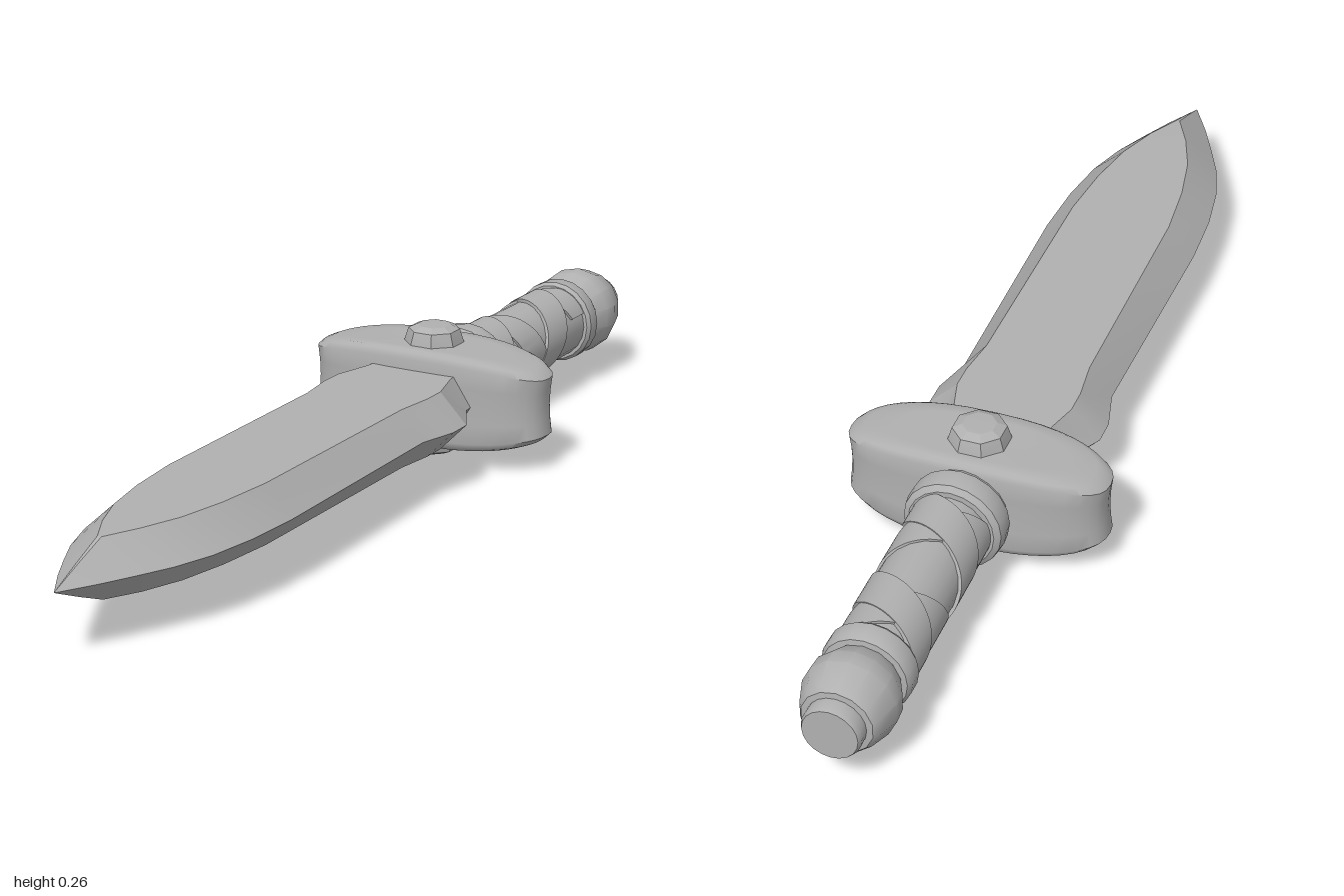
import * as THREE from 'three';
import { toCreasedNormals } from 'three/addons/utils/BufferGeometryUtils.js';

const MID = 0.13; // height of the dagger's long axis

// Skin closed rings of points, counter-clockwise about the direction of travel
function loft(rings) {
  const n = rings[0].length, index = [];
  for (let i = 0; i < rings.length - 1; i++) {
    for (let j = 0; j < n; j++) {
      const a = i * n + j, b = i * n + (j + 1) % n;
      index.push(a, b, b + n, a, b + n, a + n);
    }
  }
  const geo = new THREE.BufferGeometry();
  geo.setAttribute('position', new THREE.Float32BufferAttribute(rings.flat(2), 3));
  geo.setIndex(index);
  return geo;
}

// Turned part running backwards along -z; profile is [radius, z]
function turned(profile, sides = 20) {
  const points = profile.map(([r, z]) => new THREE.Vector2(r, -z));
  return new THREE.LatheGeometry(points, sides).rotateX(-Math.PI / 2).translate(0, MID, 0);
}

// Helical ribbon around the grip
function ribbon(direction, start) {
  const rings = [], steps = 72, turns = 1.5, half = 0.042;
  for (let i = 0; i <= steps; i++) {
    const t = i / steps, a = start + direction * t * turns * Math.PI * 2;
    const z = -0.45 - t * 0.34, out = direction > 0 ? 0.078 : 0.076;
    rings.push([[out, half], [out, -half], [0.066, -half], [0.066, half]].map(([r, dz]) =>
      [r * Math.cos(a), MID + r * Math.sin(a), THREE.MathUtils.clamp(z + dz, -0.81, -0.425)]));
  }
  return loft(direction > 0 ? rings : rings.reverse());
}

export function createModel() {
  const model = new THREE.Group();
  model.name = 'dagger';
  const grey = new THREE.MeshStandardMaterial({ color: 0xb0b0b0 });
  grey.name = 'grey';
  const add = (name, geo, crease = 0.6) => {
    const mesh = new THREE.Mesh(toCreasedNormals(geo, crease), grey);
    mesh.name = name;
    model.add(mesh);
    return mesh;
  };

  // Blade sections: z, edge half width, flat half width, half thickness
  const sections = [
    [-0.25, 0.12, 0.085, 0.057], [-0.19, 0.125, 0.09, 0.057], [-0.11, 0.168, 0.112, 0.057],
    [-0.06, 0.168, 0.112, 0.057], [0.02, 0.147, 0.102, 0.057], [0.5, 0.154, 0.1, 0.057],
    [0.62, 0.147, 0.088, 0.057], [0.72, 0.131, 0.068, 0.057], [0.8, 0.105, 0.038, 0.057],
    [0.865, 0.074, 0.004, 0.056], [0.93, 0.041, 0.002, 0.03], [1, 0, 0, 0],
  ];
  add('blade', loft(sections.map(([z, w, f, h]) =>
    [[w, 0], [f, h], [-f, h], [-w, 0], [-f, -h], [f, -h]].map(([x, y]) => [x, MID + y, z]))), 0.3);

  // Crossguard: rounded outline stacked upwards, thinner and slightly waisted at the ends
  const layers = [[-1, 0], [-1, 0.35], [-1, 0.65], [-1, 0.88], [-0.95, 0.95], [-0.82, 1], [-0.4, 0.985],
    [0, 0.98], [0.4, 0.985], [0.82, 1], [0.95, 0.95], [1, 0.88], [1, 0.65], [1, 0.35], [1, 0]];
  const power = (v) => Math.sign(v) * Math.abs(v) ** 0.8;
  add('crossguard', loft(layers.map(([t, s]) => Array.from({ length: 40 }, (_, j) => {
    const a = (j / 40) * Math.PI * 2;
    const x = 0.25 * s * power(Math.cos(a));
    const h = 0.095 - 0.026 * Math.abs(x / 0.25) ** 2.5;
    return [x, MID + t * h, -0.288 - 0.088 * s * power(Math.sin(a))];
  }))), 0.7);

  // Eight-sided studs above and below the guard
  const studProfile = [[0.06, 0.08], [0.058, 0.095], [0.05, 0.12], [0.032, 0.128], [0, 0.129]]
    .map(([r, y]) => new THREE.Vector2(r, y));
  for (const [name, turn] of [['topStud', 0], ['bottomStud', Math.PI]]) {
    const stud = new THREE.LatheGeometry(studProfile, 8, Math.PI / 8);
    add(name, stud.rotateX(turn).translate(0, MID, -0.288), 0.2);
  }

  // Handle with criss-cross wrapping
  add('collar', turned([[0.08, -0.35], [0.085, -0.378], [0.094, -0.388], [0.096, -0.41],
    [0.093, -0.43], [0.082, -0.438], [0.06, -0.438]]));
  add('grip', turned([[0.071, -0.42], [0.072, -0.6], [0.071, -0.82]]));
  add('wrapOne', ribbon(1, 0.4));
  add('wrapTwo', ribbon(-1, 0.4 + Math.PI));
  add('rearRing', turned([[0.06, -0.798], [0.078, -0.798], [0.084, -0.806], [0.084, -0.834],
    [0.078, -0.845], [0.06, -0.848]]));

  // Pommel and its end cap
  add('pommel', turned([[0.064, -0.84], [0.07, -0.85], [0.086, -0.882], [0.088, -0.912],
    [0.073, -0.958], [0.066, -0.968], [0.05, -0.97]], 14), 0.5);
  add('endCap', turned([[0.054, -0.96], [0.055, -0.992], [0.051, -1], [0, -1]]));
  return model;
}
